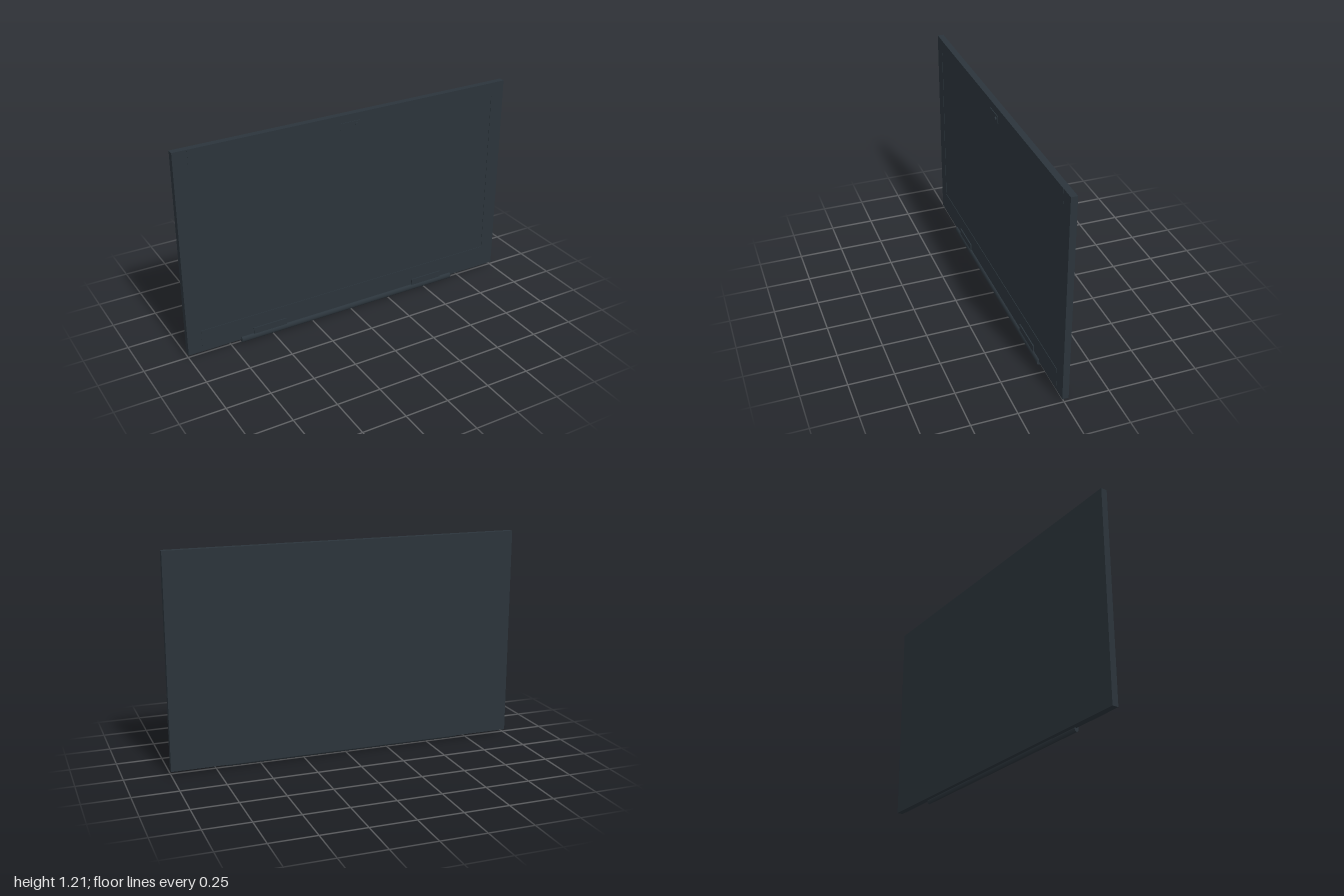
import * as THREE from 'three';

export function createModel() {
  const model = new THREE.Group();
  model.name = 'displayLid';
  const casing = new THREE.MeshStandardMaterial({ color: 0x2b343b });
  casing.name = 'darkSlate';

  const add = (name, geometry, x, y, z) => {
    const mesh = new THREE.Mesh(geometry, casing);
    mesh.name = name;
    mesh.position.set(x, y, z);
    model.add(mesh);
    return mesh;
  };
  // Box given by its limits on each axis
  const box = (name, x0, x1, y0, y1, z0, z1) =>
    add(name, new THREE.BoxGeometry(x1 - x0, y1 - y0, z1 - z0),
      (x0 + x1) / 2, (y0 + y1) / 2, (z0 + z1) / 2);

  // Lid shell; its front face is the screen inside the bezel
  box('lidShell', -1, 1, 0.02, 1.21, -0.024, 0.008);
  box('screen', -0.92, 0.92, 0.15, 1.13, 0.008, 0.009);

  // Bezel: top and bottom strips stand slightly proud of the side strips
  box('topBezel', -0.92, 0.92, 1.13, 1.21, 0.008, 0.012);
  box('bottomBezel', -0.92, 0.92, 0.02, 0.15, 0.008, 0.012);
  box('leftBezel', 0.92, 1, 0.02, 1.21, 0.008, 0.011);
  box('rightBezel', -1, -0.92, 0.02, 1.21, 0.008, 0.011);

  // Camera plate with a small lens
  box('cameraPlate', -0.06, 0.055, 1.127, 1.167, 0.008, 0.016);
  add('cameraLens', new THREE.CylinderGeometry(0.009, 0.009, 0.01, 16), 0.035, 1.147, 0.019)
    .rotation.x = Math.PI / 2;

  // Hinge bar along the lower edge, slightly oval
  const bar = new THREE.CylinderGeometry(0.0175, 0.0175, 1.38, 24);
  bar.rotateZ(Math.PI / 2);
  bar.scale(1, 1, 0.72);
  add('hingeBar', bar, 0, 0.0175, 0.0115);

  // Hinge plates
  for (const side of [-1, 1]) {
    const plate = new THREE.BoxGeometry(0.2, 0.05, 0.01);
    add(side > 0 ? 'leftHingePlate' : 'rightHingePlate', plate, side * 0.515, 0.045, 0.013);
  }
  return model;
}
